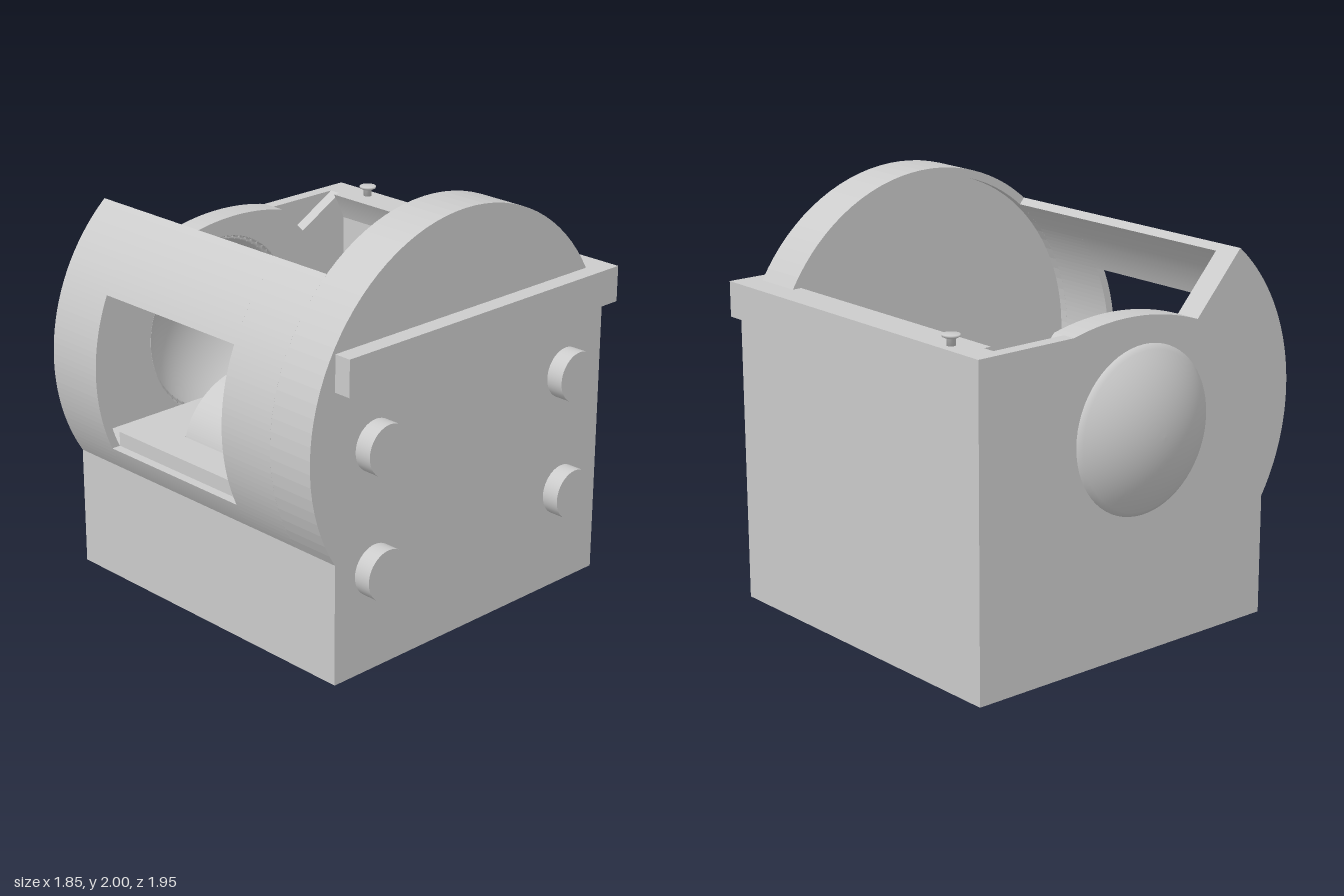
import * as THREE from 'three';

const CY = 1.075, R = 0.925, RI = 0.885;   // drum centre height, outer and inner radius
const SILL = 0.70, FLOOR = 0.77, TOP = 1.54, X0 = -0.78, X1 = 0.925, XIN = 0.82;
const ZF = 0.647, ZB = -0.705;             // inner faces of the front and back walls
const CUT = 2.27;                          // angle where the drum shell is cut open
const WIN_TOP = 1.45, WIN_Z0 = -0.52, WIN_Z1 = 0.34;

// angles on the right and left half of a circle at height y
const rightAngle = (r, y) => Math.asin((y - CY) / r);
const leftAngle = (r, y) => Math.PI - rightAngle(r, y);
const OUT_LOW = Math.PI + Math.acos(-X0 / R);
const WALL_ANGLE = Math.acos(XIN / RI);

export function createModel() {
  const group = new THREE.Group();
  const mat = new THREE.MeshStandardMaterial({ color: 0xcccccc });
  const both = mat.clone();
  both.side = THREE.DoubleSide;
  const add = (geo, name, x = 0, y = 0, z = 0, material = mat) => {
    const m = new THREE.Mesh(geo, material);
    m.name = name;
    m.position.set(x, y, z);
    group.add(m);
  };
  const slab = (shape, z0, z1, name) =>
    add(new THREE.ExtrudeGeometry(shape, { depth: z1 - z0, bevelEnabled: false, curveSegments: 24 }), name, 0, 0, z0);
  const base = () => {
    const s = new THREE.Shape();
    s.moveTo(X0, 0);
    s.lineTo(X1, 0);
    s.lineTo(X1, TOP);
    return s;
  };

  // front wall: box joined with a full disc, shallow recess on its inner side
  const front = () => {
    const s = base();
    s.absarc(0, CY, R, rightAngle(R, TOP), OUT_LOW, false);
    s.closePath();
    return s;
  };
  slab(front(), 0.69, 0.89, 'frontWall');
  const rim = front();
  const recess = new THREE.Path();
  recess.moveTo(XIN, SILL);
  recess.lineTo(XIN, CY + RI * Math.sin(WALL_ANGLE));
  recess.absarc(0, CY, RI, WALL_ANGLE, leftAngle(RI, SILL), false);
  recess.closePath();
  rim.holes.push(recess);
  slab(rim, ZF, 0.69, 'frontRim');

  // hollow middle with curved shell on one side and an undercut wall on the other
  const innerWall = () => {
    const s = base();
    s.absarc(0, CY, RI, rightAngle(RI, TOP), WALL_ANGLE, true);
    s.lineTo(XIN, SILL);
    return s;
  };
  const tub = innerWall();
  tub.absarc(0, CY, RI, leftAngle(RI, SILL), CUT, true);
  tub.absarc(0, CY, R, CUT, OUT_LOW, false);
  tub.closePath();
  slab(tub, WIN_Z1, ZF, 'tubFront');
  slab(tub, ZB, WIN_Z0, 'tubBack');

  // same section interrupted by the side window
  const lower = innerWall();
  lower.absarc(0, CY, R, leftAngle(R, SILL), OUT_LOW, false);
  lower.closePath();
  slab(lower, WIN_Z0, WIN_Z1, 'tubBelowWindow');
  const upper = new THREE.Shape();
  upper.absarc(0, CY, R, CUT, leftAngle(R, WIN_TOP), false);
  upper.absarc(0, CY, RI, leftAngle(RI, WIN_TOP), CUT, true);
  upper.closePath();
  slab(upper, WIN_Z0, WIN_Z1, 'shellAboveWindow');

  // raised floor with two pockets and two slots
  const rect = (P, xa, xb, za, zb) => {
    const p = new P();
    p.moveTo(xa, -zb);
    p.lineTo(xb, -zb);
    p.lineTo(xb, -za);
    p.lineTo(xa, -za);
    p.closePath();
    return p;
  };
  const pockets = [[-0.62, -0.155, -0.27, 0.255], [0.132, 0.505, -0.27, 0.255]];
  const slots = [[-0.045, -0.03, -0.44, 0.36], [0.003, 0.018, -0.44, 0.36]];
  const floor = rect(THREE.Shape, -0.80, XIN, WIN_Z0, 0.69);
  for (const r of [...pockets, ...slots]) floor.holes.push(rect(THREE.Path, ...r));
  const floorGeo = new THREE.ExtrudeGeometry(floor, { depth: FLOOR - SILL, bevelEnabled: false });
  floorGeo.rotateX(-Math.PI / 2);
  add(floorGeo, 'floor', 0, SILL, 0);

  // sloped pocket walls
  for (const [xa, xb, za, zb] of pockets) {
    const g = new THREE.CylinderGeometry(Math.SQRT1_2, Math.SQRT1_2 * 0.9, FLOOR - SILL, 4, 1, true).toNonIndexed();
    g.rotateY(Math.PI / 4);
    g.scale(xb - xa, 1, zb - za);
    g.computeVertexNormals();
    add(g, 'pocketLining', (xa + xb) / 2, (FLOOR + SILL) / 2, (za + zb) / 2, both);
  }

  // curved block rising out of the side pocket
  const block = new THREE.Shape();
  block.moveTo(-0.24, SILL);
  block.absellipse(-0.24, SILL, 0.38, 0.32, Math.PI / 2, Math.PI, false);
  block.closePath();
  slab(block, -0.27, 0.02, 'pocketBlock');

  // back wall: round hole, raised brow and V notch; inner layer has a corner recess
  const SX = -0.01, SY = 1.05;
  const back = (holeR, notched) => {
    const s = base();
    if (notched) {
      s.lineTo(0.79, TOP);
      s.lineTo(0.54, 1.40);
    }
    s.lineTo(0.40, TOP);
    s.quadraticCurveTo(0.03, 1.63, -0.336, 1.50);
    s.absarc(0, CY, R, CUT, OUT_LOW, false);
    s.closePath();
    const hole = new THREE.Path();
    hole.absarc(SX, SY, holeR, 0, Math.PI * 2, true);
    s.holes.push(hole);
    return s;
  };
  slab(back(0.389, false), -0.83, -0.765, 'backWall');
  slab(back(0.438, true), -0.765, ZB, 'backWallInner');

  // domed dish bulging out of the back wall
  const RO = 0.615, RS = 0.56, ZC = -0.357;
  const pts = [];
  const cap = (r, edge, i) => {
    const a = Math.asin(edge / r) * i / 14;
    pts.push(new THREE.Vector2(r * Math.sin(a), -r * Math.cos(a)));
  };
  for (let i = 0; i <= 14; i++) cap(RO, 0.392, i);
  for (let i = 14; i >= 0; i--) cap(RS, 0.44, i);
  const dish = new THREE.LatheGeometry(pts, 64);
  dish.rotateX(Math.PI / 2);
  add(dish, 'backDome', SX, SY, ZC, both);

  // front ledge and four round buttons
  add(new THREE.BoxGeometry(X1 - X0, 0.17, 0.085), 'frontLedge', (X0 + X1) / 2, 1.455, 0.9325);
  for (const x of [-0.54, 0.68]) {
    for (const y of [0.48, 1.065]) {
      const g = new THREE.CylinderGeometry(0.12, 0.12, 0.085, 40);
      g.rotateX(Math.PI / 2);
      add(g, 'frontButton', x, y, 0.9325);
    }
  }

  // small knob on the top edge
  const knob = [[0, 0], [0.02, 0], [0.02, 0.03], [0.04, 0.04], [0.04, 0.05], [0, 0.05]]
    .map(([r, y]) => new THREE.Vector2(r, y));
  add(new THREE.LatheGeometry(knob, 24), 'topKnob', 0.865, TOP, -0.58);

  return group;
}
